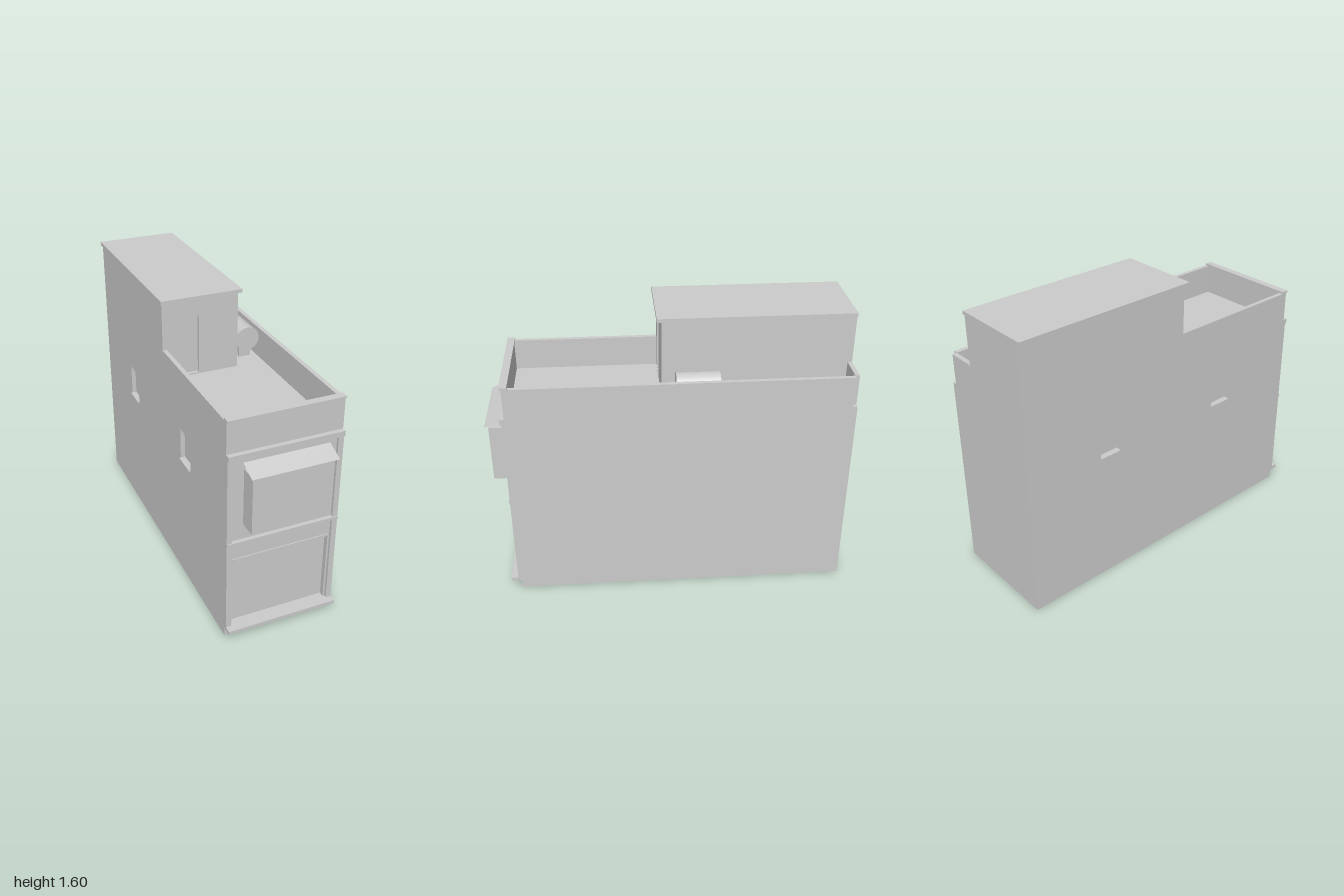
import * as THREE from 'three';

const material = new THREE.MeshStandardMaterial({ color: 0xcccccc, flatShading: true, side: THREE.DoubleSide });
const smooth = new THREE.MeshStandardMaterial({ color: 0xcccccc });

// Outline of the house
const L = -0.31, R = 0.32, BACK = -1, FRONT = 0.88, DECK = 1.13, TOP = 1.305, T = 0.025;

function mesh(parent, name, geometry, mat = material) {
  const m = new THREE.Mesh(geometry, mat);
  m.name = name;
  parent.add(m);
  return m;
}

// Box given by its limits on each axis
function box(parent, name, x0, x1, y0, y1, z0, z1) {
  const m = mesh(parent, name, new THREE.BoxGeometry(x1 - x0, y1 - y0, z1 - z0));
  m.position.set((x0 + x1) / 2, (y0 + y1) / 2, (z0 + z1) / 2);
  return m;
}

// Rectangle [x0, x1, y0, y1] with rectangular holes
function rectShape([x0, x1, y0, y1], holes = []) {
  const corners = (a, b, c, d) => [[a, c], [b, c], [b, d], [a, d]].map(p => new THREE.Vector2(...p));
  const shape = new THREE.Shape(corners(x0, x1, y0, y1));
  holes.forEach(h => shape.holes.push(new THREE.Path(corners(...h).reverse())));
  return shape;
}

// Thin wall whose openings are shallow pockets closed by a panel, facing local +z
function wall(parent, name, rect, openings = [], depth = 0.02) {
  const g = new THREE.Group();
  g.name = name;
  parent.add(g);
  mesh(g, name + 'Face', new THREE.ShapeGeometry(rectShape(rect, openings)));
  for (const [x0, x1, y0, y1] of openings) {
    const w = x1 - x0, h = y1 - y0, cx = (x0 + x1) / 2, cy = (y0 + y1) / 2;
    mesh(g, 'recessedPanel', new THREE.PlaneGeometry(w, h)).position.set(cx, cy, -depth);
    for (const s of [-1, 1]) {
      const jamb = mesh(g, 'jamb', new THREE.PlaneGeometry(depth, h));
      jamb.position.set(cx + s * w / 2, cy, -depth / 2);
      jamb.rotation.y = -s * Math.PI / 2;
      const edge = mesh(g, 'headOrSill', new THREE.PlaneGeometry(w, depth));
      edge.position.set(cx, cy + s * h / 2, -depth / 2);
      edge.rotation.x = s * Math.PI / 2;
    }
  }
  return g;
}

export function createModel() {
  const house = new THREE.Group();
  house.name = 'townHouse';

  // Thin outer walls, open underneath
  wall(house, 'frontWall', [L, R, 0, DECK], [[-0.27, 0.28, 0.07, 0.5]], 0.03).position.z = FRONT;
  const back = wall(house, 'backWall', [-R, -L, 0, DECK]);
  back.position.z = BACK;
  back.rotation.y = Math.PI;
  const right = wall(house, 'plainSideWall', [-FRONT, -BACK, 0, DECK]);
  right.position.x = R;
  right.rotation.y = Math.PI / 2;
  const windows = [[-0.54, -0.41], [0.28, 0.42]];
  const left = wall(house, 'windowSideWall', [BACK, FRONT, 0, DECK],
    windows.map(([a, b]) => [a, b, 0.77, 0.95]), 0.025);
  left.position.x = L;
  left.rotation.y = -Math.PI / 2;
  windows.forEach(([a, b]) => box(house, 'windowSill', L - 0.01, L + 0.02, 0.76, 0.77, a, b));

  // Roof deck and parapets
  const deck = mesh(house, 'roofDeck', new THREE.PlaneGeometry(R - L, FRONT - BACK));
  deck.rotation.x = -Math.PI / 2;
  deck.position.set((L + R) / 2, DECK, (FRONT + BACK) / 2);
  box(house, 'sideParapet', R - T, R, DECK, TOP, BACK + T, FRONT);
  box(house, 'sideParapet', L, L + T, DECK, TOP, 0.04, FRONT);
  box(house, 'frontParapet', L + T, R - T, DECK, TOP, 0.855, FRONT);
  box(house, 'backParapet', 0.13, R - T, DECK, TOP, BACK, BACK + T);
  box(house, 'parapetCap', L, R, TOP, 1.316, 0.85, 0.892);

  // Front trim: pilasters, cornice, string course and step
  for (const [x0, x1] of [[L, -0.28], [0.29, R]]) {
    box(house, 'pilaster', x0, x1, 0.07, 0.597, FRONT, 0.896);
    box(house, 'pilaster', x0, x1, 0.615, 1.1, FRONT, 0.896);
  }
  box(house, 'cornice', L, R, 1.1, DECK, FRONT, 0.906);
  box(house, 'stringCourse', L, R, 0.597, 0.615, FRONT, 0.902);
  box(house, 'frontLedge', L, R, 0.05, 0.07, FRONT, 0.935);
  box(house, 'shutterHeader', -0.27, 0.28, 0.488, 0.5, 0.85, 0.886);

  // Projecting bay with a thin sloping awning
  box(house, 'bay', -0.215, 0.225, 0.705, 1.03, FRONT, 0.98);
  const awning = mesh(house, 'awning', new THREE.PlaneGeometry(0.47, Math.hypot(0.1, 0.04)));
  awning.position.set(0.005, 1.06, 0.95);
  awning.rotation.x = -Math.atan2(0.1, 0.04);

  // Rooftop room: body, front layer with recessed door, overhanging slab
  box(house, 'roofRoom', L, 0.13, DECK, 1.575, BACK, 0.02);
  const doorWall = mesh(house, 'roofRoomFront', new THREE.ExtrudeGeometry(
    rectShape([L, 0.13, DECK, 1.575], [[-0.24, -0.1, DECK + 0.008, 1.48]]),
    { depth: 0.02, bevelEnabled: false }));
  doorWall.position.z = 0.02;
  box(house, 'roofSlab', -0.322, 0.145, 1.575, 1.595, BACK, 0.065);

  // Water tank lying on two cradles
  const tank = mesh(house, 'waterTank', new THREE.CylinderGeometry(0.07, 0.07, 0.235, 24), smooth);
  tank.rotation.x = Math.PI / 2;
  tank.position.set(0.225, 1.25, -0.147);
  for (const z of [-0.22, -0.075]) box(house, 'tankCradle', 0.19, 0.26, DECK, 1.2, z - 0.01, z + 0.01);

  return house;
}
